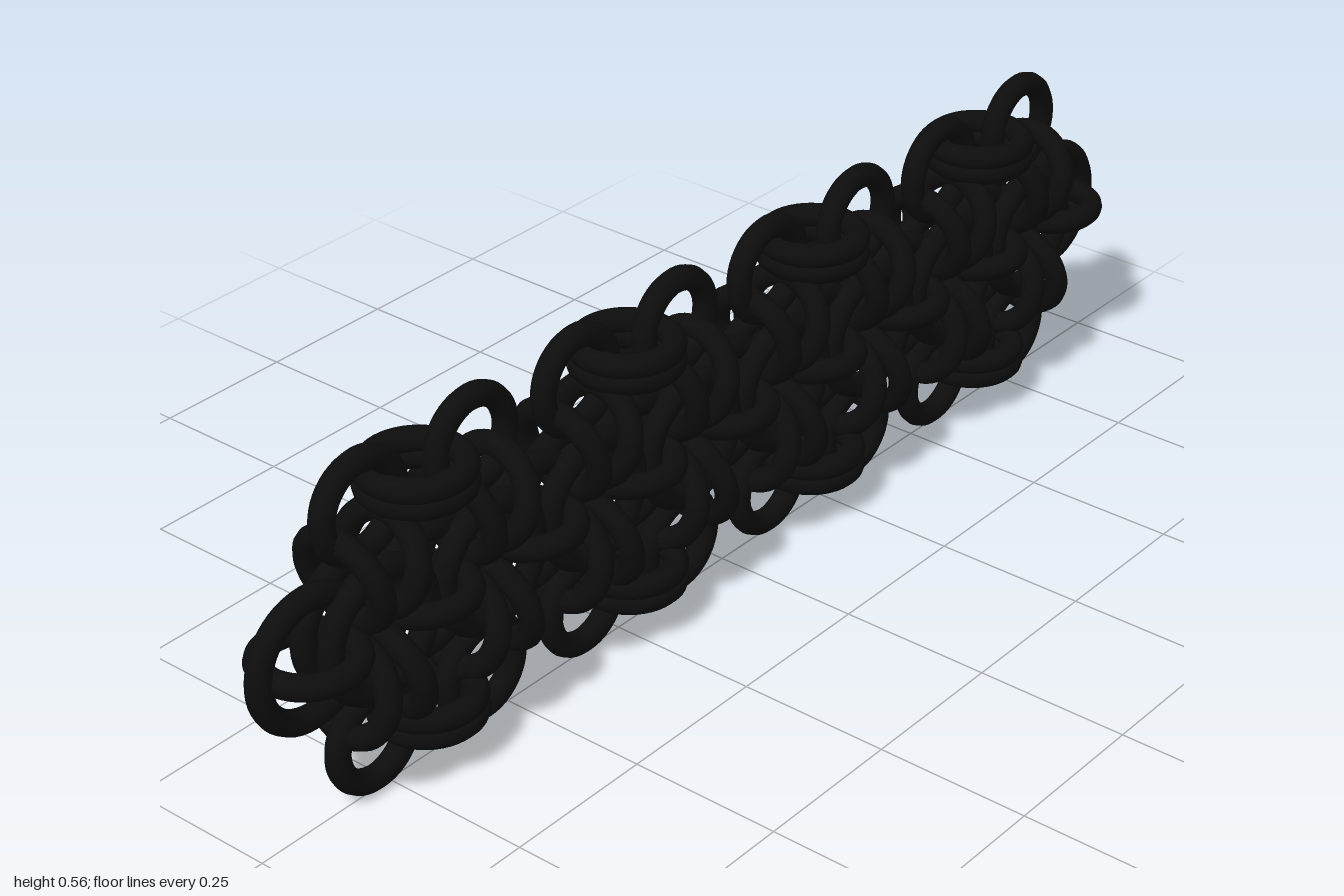
import * as THREE from 'three';

export function createModel() {
  const model = new THREE.Group();
  model.name = 'ringChain';

  const metal = new THREE.MeshStandardMaterial({ color: 0x0d0d0d });
  const WIRE = 0.0195;
  const small = new THREE.TorusGeometry(0.0705, WIRE, 12, 44);
  const large = new THREE.TorusGeometry(0.0945, WIRE, 12, 48);
  const STEP = 0.2215; // spacing of the large rings
  const MID = 0.28; // height of the chain's centre line
  const QUARTER = Math.PI / 2;

  function ring(name, geometry, x, y, z = 0) {
    const mesh = new THREE.Mesh(geometry, metal);
    mesh.name = name;
    mesh.position.set(x, MID + y, z);
    model.add(mesh);
    return mesh;
  }

  // Core: a large ring standing around a flat small ring
  for (let i = -4; i <= 4; i++) {
    ring('coreRing', large, i * STEP, 0);
    ring('coreLink', small, i * STEP, 0).rotation.x = QUARTER;
  }

  for (let i = -4; i < 4; i++) {
    const x = (i + 0.5) * STEP;
    // Paired large rings, one on each face of the core
    for (const side of [-1, 1]) ring('facePairRing', large, x, 0, side * 0.0265);

    for (const up of [-1, 1]) {
      // Edge ring above and below the core
      ring('edgeRing', small, x, up * 0.19);
      // Two crosswise rings fanning out to hold the edge ring
      for (const side of [-1, 1]) {
        const cross = ring('crossRing', small, x + side * 0.035, up * 0.091);
        cross.rotation.set(0, QUARTER, -side * up * 0.22, 'ZYX');
      }
    }
  }

  // Stacked flat rings joining the edge rings of each cluster
  for (let c = -1.5; c <= 1.5; c++) {
    for (const up of [-1, 1]) {
      for (const offset of [0.177, 0.2025]) {
        ring('clusterLink', small, c * 2 * STEP, up * offset).rotation.x = QUARTER;
      }
    }
  }

  return model;
}
